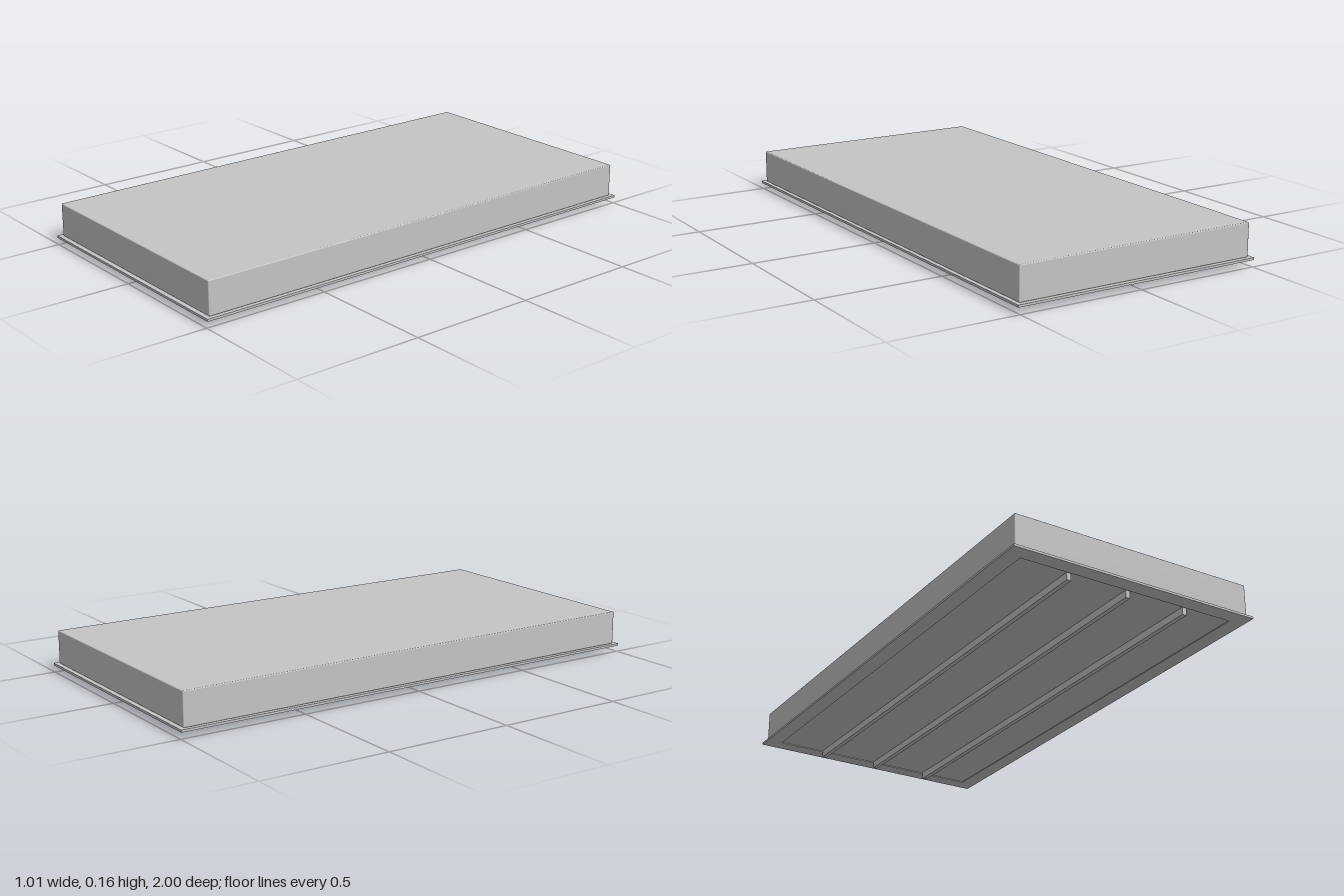
import * as THREE from 'three';
import { RoundedBoxGeometry } from 'three/addons/geometries/RoundedBoxGeometry.js';

export function createModel() {
  const group = new THREE.Group();
  const grey = new THREE.MeshStandardMaterial({ color: 0xc4c4c4 });
  grey.name = 'lightGrey';

  const add = (name, geometry, x, y, z) => {
    const mesh = new THREE.Mesh(geometry, grey);
    mesh.name = name;
    mesh.position.set(x, y, z);
    group.add(mesh);
    return mesh;
  };

  // Main slab with finely eased edges
  add('slab', new RoundedBoxGeometry(0.984, 0.131, 1.966, 2, 0.004), 0, 0.0995, 0);

  // Thin flange: a rectangular frame that overhangs the slab
  const rectangle = (Type, w, d) => new Type([
    new THREE.Vector2(-w, -d), new THREE.Vector2(w, -d),
    new THREE.Vector2(w, d), new THREE.Vector2(-w, d),
  ]);
  const frame = rectangle(THREE.Shape, 0.507, 1);
  frame.holes.push(rectangle(THREE.Path, 0.445, 0.94));
  const flange = new THREE.ExtrudeGeometry(frame, { depth: 0.009, bevelEnabled: false });
  flange.rotateX(-Math.PI / 2);
  add('flange', flange, 0, 0.0255, 0);

  // Slightly recessed bottom panel inside the flange
  add('bottomPanel', new THREE.BoxGeometry(0.89, 0.006, 1.88), 0, 0.0315, 0);

  // Three long runners underneath
  for (const x of [-0.246, 0, 0.246]) {
    add('runner', new THREE.BoxGeometry(0.018, 0.03, 1.87), x, 0.015, 0);
  }
  return group;
}
